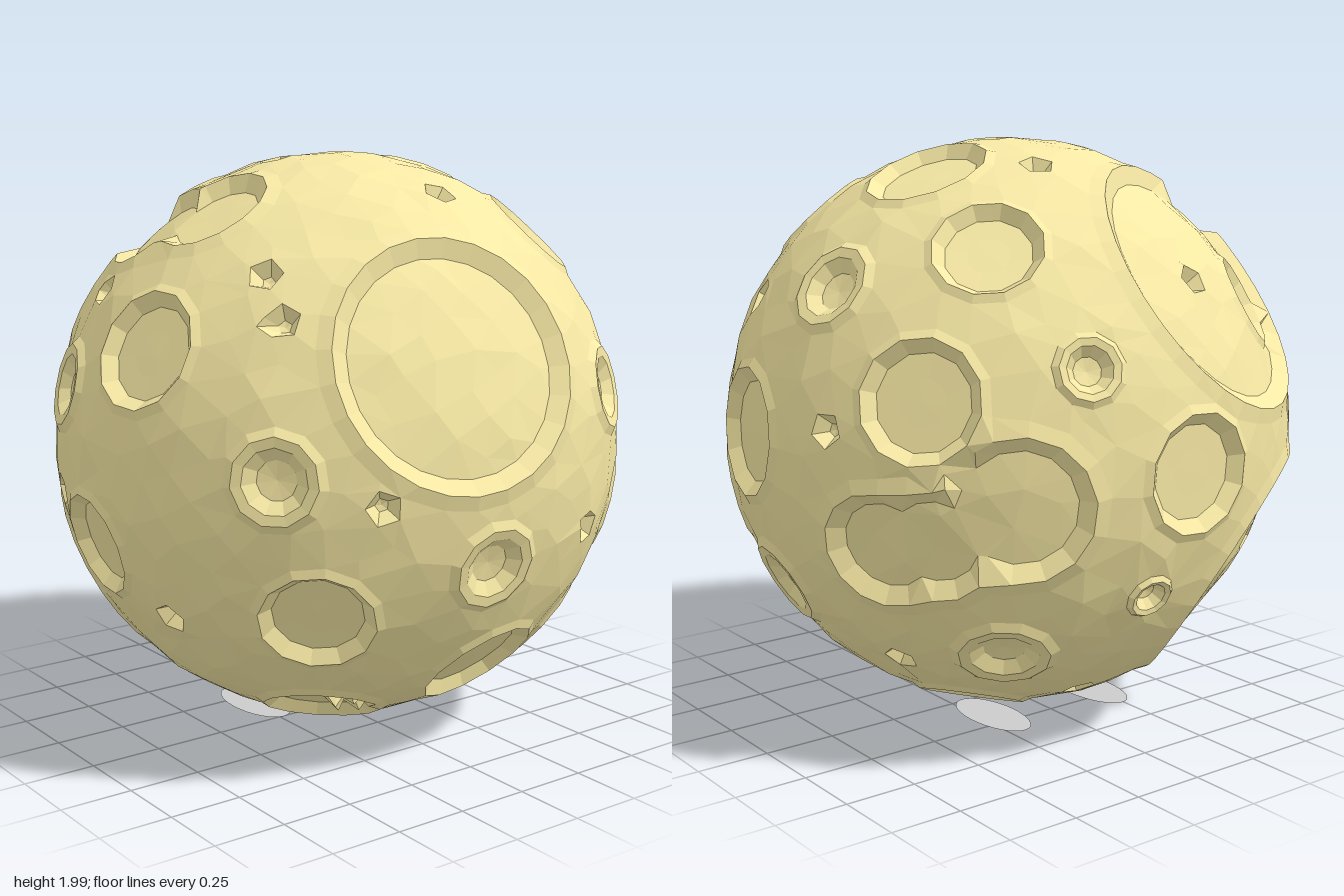
import * as THREE from 'three';
import { ConvexGeometry } from 'three/addons/geometries/ConvexGeometry.js';

const RADIUS = 0.982, CENTRE_Y = 1.01, FLOOR = -0.04;

// Small seeded random generator
let seed = 7;
const rand = () => (seed = (seed * 16807) % 2147483647) / 2147483647;

// Facing directions used to place craters: azimuth and elevation in degrees
const SIDES = { F: [0, 0], R: [90, 0], T: [0, 90], BL: [216, 25], BR: [144, -27] };

// Unit direction of a spot (a across, b up) on the half of the ball facing a side
function spot(side, a, b) {
  const [az, el] = SIDES[side].map(THREE.MathUtils.degToRad);
  const toward = new THREE.Vector3(Math.sin(az) * Math.cos(el), Math.sin(el), Math.cos(az) * Math.cos(el));
  const right = new THREE.Vector3(Math.cos(az), 0, -Math.sin(az));
  const up = toward.clone().cross(right);
  a /= RADIUS; b /= RADIUS;
  const d = Math.sqrt(Math.max(0, 1 - a * a - b * b));
  return right.multiplyScalar(a).addScaledVector(up, b).addScaledVector(toward, d).normalize();
}

// Wide sunken plains, each a union of discs [side, a, b, radius]
const PLAINS = [
  [['F', -0.16, 0.39, 0.42]],
  [['BL', 0.05, -0.82, 0.46]],
  [['BL', -0.13, 0.19, 0.49], ['T', -0.6, 0.2, 0.18], ['T', -0.54, -0.05, 0.19]],
  [['R', 0.45, -0.25, 0.19], ['R', 0.6, -0.22, 0.18], ['R', 0.8, -0.1, 0.23]],
];
// Flat-floored craters
const BOWLS = [
  ['F', -0.57, -0.43, 0.19], ['F', -0.33, -0.85, 0.2], ['F', 0.08, -0.69, 0.21], ['F', 0.53, -0.67, 0.2],
  ['F', 0.78, -0.24, 0.19], ['T', 0.48, -0.46, 0.18], ['R', -0.16, 0.045, 0.22], ['T', 0.4, 0.08, 0.21],
  ['T', 0.48, 0.53, 0.18], ['R', 0.57, 0.23, 0.2], ['R', 0.22, -0.9, 0.18], ['T', -0.58, 0.64, 0.17],
  ['T', -0.88, -0.18, 0.2], ['BL', -0.57, -0.36, 0.2], ['BL', 0.73, -0.5, 0.18],
];
// Craters with a raised ring
const RINGED = [
  ['F', -0.72, 0.04, 0.14], ['F', -0.08, -0.27, 0.14], ['F', 0.53, 0.22, 0.14], ['R', 0.15, 0.54, 0.14],
  ['BL', -0.785, 0.085, 0.1], ['R', 0.6, -0.62, 0.15], ['R', -0.1, -0.47, 0.15], ['BL', 0.59, -0.11, 0.14],
  ['BR', 0.43, -0.02, 0.07], ['BR', 0.24, -0.83, 0.11],
];
// Little chipped pits
const PITS = [
  ['T', 0.07, -0.47], ['T', -0.62, -0.57], ['T', -0.6, -0.45], ['F', -0.46, -0.04], ['F', 0.38, -0.22],
  ['F', 0.8, 0.1], ['F', -0.26, -0.84], ['R', -0.3, 0.47], ['R', 0.3, 0.12], ['R', 0.29, -0.67],
  ['T', -0.2, 0.77], ['T', 0.15, 0.35], ['T', -0.2, 0.08], ['T', 0.07, 0], ['T', -0.8, 0.22],
  ['BL', 0.52, 0.22], ['BL', 0.58, -0.45], ['BL', -0.05, -0.72], ['BR', 0.23, -0.53],
  ['BR', -0.35, -0.75], ['F', -0.83, -0.47],
];

// Profiles as [distance from the centre in radii, height]
const BOWL = [[1.16, 0], [1, 0.01], [0.82, -0.035], [0.4, -0.045], [0, -0.047]];
const RING = [[1.22, 0], [1, 0.014], [0.76, 0.006], [0.48, -0.03], [0, -0.04]];
const PIT = [[1, 0.002], [0.4, -0.045], [0, -0.05]];
// Plain edge as [distance from the outline, height]
const EDGE = [[0.06, 0], [0.01, 0.01], [-0.035, FLOOR]];

const disc = ([side, a, b, r]) => ({ dir: spot(side, a, b), r });
const plains = PLAINS.map((list) => list.map(disc));
// Signed distance to a plain's outline, negative inside
const plainDistance = (plain, p) => Math.min(...plain.map((d) => d.dir.angleTo(p) - d.r));
// Ground level: plains sink a little further towards their middle
function ground(p) {
  const d = Math.min(...plains.map((plain) => plainDistance(plain, p)));
  return d < -0.03 ? FLOOR + 0.04 * d : 0;
}

// Points of a circle around a direction
function circle(dir, angle, sides, turn) {
  const u = new THREE.Vector3(0.31, 0.83, 0.46).cross(dir).normalize();
  const v = dir.clone().cross(u);
  return Array.from({ length: sides }, (_, i) => {
    const t = ((i + turn + (rand() - 0.5) * 0.02) / sides) * Math.PI * 2;
    return dir.clone().multiplyScalar(Math.cos(angle))
      .addScaledVector(u, Math.sin(angle) * Math.cos(t))
      .addScaledVector(v, Math.sin(angle) * Math.sin(t)).normalize();
  });
}

function moonGeometry() {
  const points = [], heights = new Map();
  const key = (x, y, z) => [x, y, z].map(Math.fround).join();
  const add = (p, h) => {
    points.push(p);
    heights.set(key(p.x, p.y, p.z), RADIUS + h);
  };
  const craters = [
    ...BOWLS.map((c) => ({ ...disc(c), profile: BOWL, sides: 12 })),
    ...RINGED.map((c) => ({ ...disc(c), profile: RING, sides: 11 })),
    ...PITS.map((c) => ({ ...disc([...c, 0.06]), profile: PIT, sides: 5 })),
  ];
  // Whether a crater, counted from an index, takes up a point; spread widens its edge in radii
  const covered = (p, from, spread) =>
    craters.some((c, i) => i >= from && c.dir.angleTo(p) < c.r * (c.profile[0][0] + spread));

  // Plain outlines
  for (const plain of plains) {
    for (const d of plain) {
      const sides = Math.max(14, Math.round(d.r * 60));
      for (const [offset, h] of EDGE) {
        for (const p of circle(d.dir, d.r + offset, sides, 0)) {
          if (plainDistance(plain, p) > offset - 0.004 && !covered(p, 0, 0.1)) add(p, h);
        }
      }
    }
  }
  // Craters and pits
  craters.forEach((c, i) => {
    const base = ground(c.dir), turn = rand();
    for (const [f, h] of c.profile) {
      const ring = f ? circle(c.dir, c.r * f, c.sides, turn) : [c.dir];
      for (const p of ring) if (!covered(p, i + 1, 0.1)) add(p, base + h);
    }
  });
  // Uneven ground between them
  const count = 800;
  for (let i = 0; i < count; i++) {
    const y = 1 - (2 * i + 1) / count, t = i * 2.399963, s = Math.sqrt(1 - y * y);
    const p = new THREE.Vector3(s * Math.cos(t), y, s * Math.sin(t));
    p.add(new THREE.Vector3(rand() - 0.5, rand() - 0.5, rand() - 0.5).multiplyScalar(0.045)).normalize();
    const onEdge = plains.some((plain) => Math.abs(plainDistance(plain, p) - 0.0125) < 0.09);
    if (!onEdge && !covered(p, 0, 0.25)) add(p, ground(p) + (rand() - 0.5) * 0.012);
  }

  // Net the directions on a unit ball, then push each corner to its height
  const geometry = new ConvexGeometry(points);
  const pos = geometry.attributes.position;
  for (let i = 0; i < pos.count; i++) {
    const x = pos.getX(i), y = pos.getY(i), z = pos.getZ(i);
    const h = heights.get(key(x, y, z)) ?? RADIUS;
    pos.setXYZ(i, x * h, y * h, z * h);
  }
  geometry.computeVertexNormals();
  return geometry;
}

export function createModel() {
  seed = 7;
  const model = new THREE.Group();
  model.name = 'crateredMoon';

  const moon = new THREE.Mesh(moonGeometry(), new THREE.MeshStandardMaterial({ color: 0xf6e8a4, flatShading: true }));
  moon.name = 'moonSurface';
  moon.position.y = CENTRE_Y;
  model.add(moon);

  // Flat oval eyes lying under the ball
  const oval = (name, color, x, y, halfWidth, halfLength) => {
    const mesh = new THREE.Mesh(
      new THREE.CircleGeometry(1, 32),
      new THREE.MeshStandardMaterial({ color, side: THREE.DoubleSide }));
    mesh.name = name;
    mesh.rotation.x = Math.PI / 2;
    mesh.scale.set(halfWidth, halfLength, 1);
    mesh.position.set(x, y, -0.175);
    model.add(mesh);
  };
  for (const [side, x] of [['left', 0.2], ['right', -0.24]]) {
    oval(`${side}Eye`, 0xcccccc, x, 0.003, 0.09, 0.185);
    oval(`${side}Pupil`, 0x000000, x, 0, 0.034, 0.068);
  }
  return model;
}
